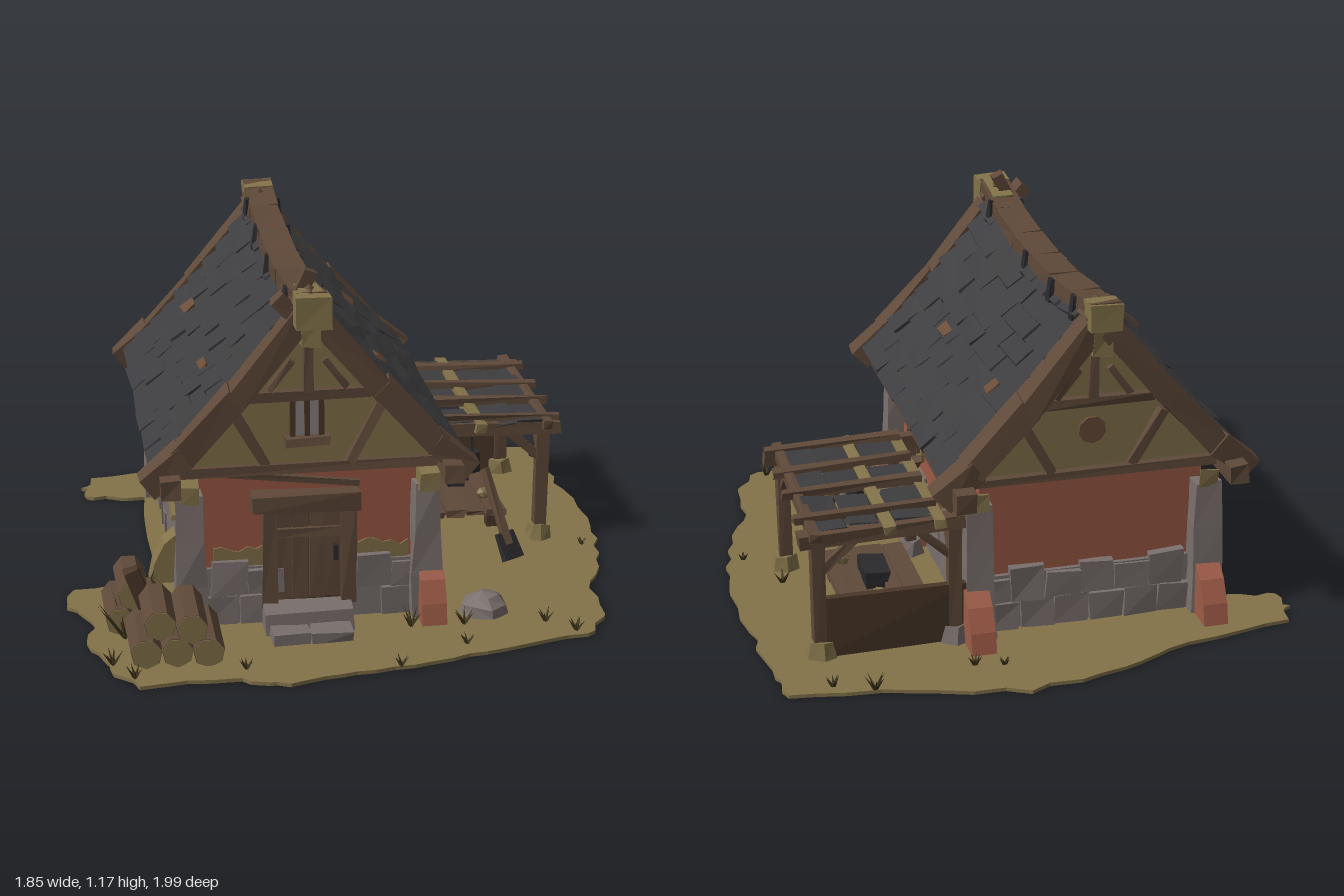
import * as THREE from 'three';

const M = {};
for (const [name, color] of Object.entries({
  timber: 0x5f4939, darkTimber: 0x493628, slate: 0x3d3d3f, straw: 0x83734a, redPlaster: 0x9c5a46,
  stone: 0x7a706d, iron: 0x2b2b2e, grass: 0x40361d, paleStone: 0x8a8482, rust: 0x6a4c38,
})) M[name] = new THREE.MeshStandardMaterial({ color, flatShading: true, side: THREE.DoubleSide, name });

let seed = 7;
const rnd = () => ((seed = (seed * 16807) % 2147483647) / 2147483647);
const jit = (a) => (rnd() - 0.5) * 2 * a;
const V = (x, y, z) => new THREE.Vector3(x, y, z);
const CX = -0.162; // house centre line

// Shift shared corners together for a hand-hewn look
function rough(geo, amt) {
  const p = geo.attributes.position, moved = {};
  for (let i = 0; i < p.count; i++) {
    const v = V(p.getX(i), p.getY(i), p.getZ(i));
    const k = v.toArray().map((n) => n.toFixed(3) * 1 + 0).join();
    moved[k] ??= V(jit(amt), jit(amt), jit(amt));
    v.add(moved[k]);
    p.setXYZ(i, v.x, v.y, v.z);
  }
  geo.computeVertexNormals();
  return geo;
}

export function createModel() {
  seed = 7;
  const root = new THREE.Group();
  root.name = 'cottage';
  const add = (name, geo, mat, x = 0, y = 0, z = 0) => {
    const m = new THREE.Mesh(geo, M[mat]);
    m.name = name;
    m.position.set(x, y, z);
    root.add(m);
    return m;
  };
  // Box given by its extents
  const box = (name, mat, x0, x1, y0, y1, z0, z1, r = 0) => add(name,
    rough(new THREE.BoxGeometry(x1 - x0, y1 - y0, z1 - z0), r), mat, (x0 + x1) / 2, (y0 + y1) / 2, (z0 + z1) / 2);
  // Squared bar between two points
  const beam = (name, mat, a, b, w, h, r = 0.004, up = V(0, 1, 0)) => {
    const m = add(name, rough(new THREE.BoxGeometry(w, h, a.distanceTo(b)), r), mat);
    m.position.copy(a).lerp(b, 0.5);
    m.up.copy(up);
    m.lookAt(b);
    return m;
  };

  // Ground with ragged edge and an opening below the house
  const rim = [[0.14, -1], [0.5, -0.9], [0.86, -0.84], [0.88, -0.66], [0.91, -0.4], [0.92, -0.05], [0.89, 0.18],
    [0.8, 0.4], [0.78, 0.66], [0.69, 0.79], [0.42, 0.85], [0.16, 0.91], [-0.07, 0.94], [-0.28, 0.99], [-0.42, 0.93],
    [-0.73, 0.94], [-0.81, 0.79], [-0.86, 0.66], [-0.84, 0.48], [-0.92, 0.34], [-0.89, 0.21], [-0.62, 0.15],
    [-0.6, -0.56], [-0.78, -0.58], [-0.82, -0.68], [-0.78, -0.77], [-0.42, -0.83], [-0.18, -0.93]];
  const edge = [];
  rim.forEach(([x, z], i) => {
    const [nx, nz] = rim[(i + 1) % rim.length];
    edge.push(new THREE.Vector2(x, -z));
    for (const t of [0.25, 0.5, 0.75]) edge.push(new THREE.Vector2(x + (nx - x) * t + jit(0.016), -(z + (nz - z) * t + jit(0.016))));
  });
  const ground = new THREE.Shape(edge);
  ground.holes.push(new THREE.Path([[-0.5, -0.54], [0.17, -0.54], [0.17, 0.5], [-0.5, 0.5]].map((p) => new THREE.Vector2(...p))));
  add('ground', new THREE.ExtrudeGeometry(ground, { depth: 0.012, bevelEnabled: false }).rotateX(-Math.PI / 2), 'straw');

  // Walls: red plaster above a stone footing, lined with stone inside
  for (const [mat, y0, y1, o] of [['redPlaster', 0.2, 0.55, 0], ['stone', 0.005, 0.2, 0.015]]) {
    box('frontWall', mat, -0.53, 0.2, y0, y1, 0.49, 0.52 + o);
    box('backWall', mat, -0.53, 0.2, y0, y1, -0.58 - o, -0.55);
    box('rightWall', mat, 0.17, 0.2 + o, y0, y1, -0.58, 0.52);
    box('leftWall', mat, -0.53 - o, -0.5, y0, y1, -0.58, 0.52);
  }
  box('innerFrontWall', 'stone', -0.5, 0.17, 0.005, 0.56, 0.48, 0.49);
  box('innerBackWall', 'stone', -0.5, 0.17, 0.005, 0.56, -0.55, -0.54);
  box('innerRightWall', 'stone', 0.16, 0.17, 0.005, 0.56, -0.55, 0.49);
  box('innerLeftWall', 'stone', -0.5, -0.49, 0.005, 0.56, -0.55, 0.49);
  box('ceiling', 'stone', -0.5, 0.17, 0.55, 0.56, -0.55, 0.49);
  box('innerDoor', 'rust', -0.28, -0.04, 0.06, 0.42, 0.474, 0.48);
  for (const [z, y] of [[0.3, 0.12], [0.02, 0.2], [-0.25, 0.1], [-0.4, 0.3]]) box('innerStain', 'rust', -0.49, -0.484, y, y + 0.06, z, z + 0.1, 0.003);

  // Footing stones in two courses
  for (let row = 0; row < 2; row++) {
    const y0 = 0.01 + row * 0.1, y1 = y0 + 0.098;
    for (let i = 0; i < 6; i++) {
      const x = -0.5 + i * 0.115 + row * 0.03, top = y1 + (row ? jit(0.025) : 0);
      if (x < -0.33 || x > -0.03) box('footingStone', 'stone', x, x + 0.112, y0, top, 0.5, 0.55, 0.005);
      box('footingStone', 'stone', x, x + 0.112, y0, top, -0.61, -0.56, 0.005);
    }
    for (let i = 0; i < 8; i++) {
      const z = -0.56 + i * 0.133 + row * 0.03, top = y1 + (row ? jit(0.015) : 0);
      box('footingStone', 'stone', 0.18, 0.225, y0, top, z, z + 0.13, 0.005);
      box('footingStone', 'stone', -0.555, -0.51, y0, top, z, z + 0.13, 0.005);
    }
  }
  // Ragged bare patches on the plaster
  const patch = (x, y, z, w, h, ry, mat = 'straw') => {
    const s = [], n = 6;
    for (let i = 0; i <= n; i++) s.push(new THREE.Vector2(-w / 2 + (w * i) / n, h / 2 + jit(h * 0.25)));
    s.push(new THREE.Vector2(w / 2, -h / 2), new THREE.Vector2(-w / 2, -h / 2));
    add('barePatch', new THREE.ExtrudeGeometry(new THREE.Shape(s), { depth: 0.006, bevelEnabled: false }), mat, x, y, z).rotation.y = ry;
  };
  patch(-0.38, 0.225, 0.52, 0.16, 0.06, 0);
  patch(0.08, 0.225, 0.52, 0.16, 0.06, 0);
  patch(0.2, 0.215, -0.3, 0.56, 0.045, Math.PI / 2, 'rust');
  patch(0.2, 0.49, -0.17, 0.28, 0.08, Math.PI / 2);
  patch(0.2, 0.3, 0.35, 0.1, 0.1, Math.PI / 2);

  // Tapered corner pillars with beam ends on top
  for (const s of [-1, 1]) for (const [z, dz] of [[0.54, 1], [-0.6, -1]]) {
    const g = new THREE.CylinderGeometry(0.058, 0.073, 0.46, 4, 3).rotateY(Math.PI / 4);
    add('cornerPillar', rough(g, 0.006), 'stone', CX + s * 0.375, 0.235, z);
    box('beamEnd', 'straw', CX + s * 0.375 - 0.03, CX + s * 0.375 + 0.03, 0.45, 0.51, z - 0.04, z + 0.05 * dz + 0.02, 0.004);
  }
  // Curved buttresses
  const buttress = (x, z, ry, mat, d) => {
    const s = new THREE.Shape([[-0.03, 0], [d, 0], [d * 0.85, 0.07], [d * 0.5, 0.14], [0, 0.18], [-0.03, 0.18]].map((p) => new THREE.Vector2(...p)));
    add('buttress', new THREE.ExtrudeGeometry(s, { depth: 0.08, bevelEnabled: false }).translate(0, 0, -0.04), mat, x, 0.01, z).rotation.y = ry;
  };
  buttress(0.225, 0.57, -Math.PI / 2, 'redPlaster', 0.09);
  buttress(0.21, 0.08, 0, 'redPlaster', 0.1);
  buttress(0.225, -0.64, Math.PI / 2, 'redPlaster', 0.11);
  buttress(-0.54, -0.64, Math.PI / 2, 'redPlaster', 0.11);
  buttress(-0.54, 0.16, Math.PI, 'straw', 0.1);

  // Gables with timber framing; f is the outer face and d its direction
  for (const [f, d] of [[0.53, 1], [-0.585, -1]]) {
    const s = new THREE.Shape([[-0.42, 0.53], [0.42, 0.53], [0, 1.0]].map((p) => new THREE.Vector2(...p)));
    add('gable', new THREE.ExtrudeGeometry(s, { depth: 0.04, bevelEnabled: false }), 'straw', CX, 0, d > 0 ? f - 0.04 : f);
    const t = (x0, y0, x1, y1, h) => beam('gableTimber', 'timber', V(CX + x0, y0, f + d * 0.008), V(CX + x1, y1, f + d * 0.008), 0.03, h);
    t(-0.42, 0.53, 0.42, 0.53, 0.028);
    t(-0.2, 0.77, 0.2, 0.77, 0.032);
    t(0, 0.78, 0, 1.0, 0.04);
    for (const k of [-1, 1]) {
      t(k * 0.13, 0.54, k * 0.23, 0.72, 0.03);
      t(k * 0.12, 0.79, k * 0.05, 0.88, 0.02);
    }
    // Barge boards, sagging slightly
    const zb = d > 0 ? 0.585 : -0.645;
    for (const k of [-1, 1]) {
      const pts = [[-0.03, 1.1], [0.22, 0.8], [0.39, 0.615], [0.5, 0.52]].map(([x, y]) => V(CX + k * x, y, zb));
      for (let i = 0; i < 3; i++) beam('bargeBoard', 'timber', pts[i], pts[i + 1].clone().lerp(pts[i], -0.06), 0.08, 0.075, 0.006);
      beam('eavePurlin', 'timber', V(CX + k * 0.44, 0.53, d * 0.1), V(CX + k * 0.44, 0.53, zb + d * 0.095), 0.06, 0.06);
    }
    box('gableBracket', 'straw', CX - 0.03, CX + 0.03, 0.95, 1.03, Math.min(f, f + d * 0.1), Math.max(f, f + d * 0.1), 0.004);
  }
  beam('crossedPeg', 'timber', V(-0.2, 1.06, 0.53), V(-0.15, 1.165, 0.53), 0.04, 0.04);
  beam('crossedPeg', 'timber', V(-0.2, 1.03, 0.585), V(-0.265, 1.1, 0.585), 0.06, 0.05);
  beam('slantedLath', 'timber', V(-0.5, 0.525, 0.53), V(0.0, 0.465, 0.53), 0.02, 0.018);
  // Gable window and back vent
  box('gableWindow', 'paleStone', -0.205, -0.125, 0.63, 0.75, 0.525, 0.54);
  for (const x of [-0.21, -0.165, -0.12]) box('windowBar', 'darkTimber', x - 0.008, x + 0.008, 0.62, 0.76, 0.53, 0.55);
  box('windowSill', 'timber', -0.235, -0.095, 0.61, 0.635, 0.53, 0.57, 0.004);
  add('backVent', new THREE.CylinderGeometry(0.045, 0.045, 0.02, 9).rotateX(Math.PI / 2), 'rust', CX, 0.67, -0.585);

  // Roof surface: k side, t from ridge to eave
  const roof = (k, t, z) => V(CX + k * 0.475 * t, 1.03 - 0.485 * t - 0.025 * Math.sin(Math.PI * t) + 0.17 * z * z * (1 - t), z);
  for (const k of [-1, 1]) {
    const up = V(k * 0.6, 0.78, 0);
    const slab = (mat, t, z0, z1, lift, w) => beam('roofSlate', mat, roof(k, t, z0).addScaledVector(up, lift), roof(k, t, z1).addScaledVector(up, lift), w, 0.018, 0.005, up);
    const sheet = new THREE.PlaneGeometry(1, 1, 6, 6), p = sheet.attributes.position;
    for (let i = 0; i < p.count; i++) {
      const q = roof(k, p.getX(i) + 0.5, -0.03 + p.getY(i) * 1.16);
      p.setXYZ(i, q.x, q.y, q.z);
    }
    sheet.computeVertexNormals();
    add('roofUnderside', sheet, 'slate');
    for (let row = 0; row < 10; row++) {
      for (let z = -0.61; z < 0.53;) {
        const e = z + 0.13 + rnd() * 0.16, end = e > 0.46 ? 0.55 : e;
        slab('slate', (row + 0.5) / 10, z + 0.003, end - 0.003, 0.012 + rnd() * 0.006, 0.078);
        z = end;
      }
    }
    // Small weathered repairs
    slab('rust', 0.57, 0.12, 0.2, 0.022, 0.035);
    slab('rust', 0.55, -0.44, -0.38, 0.022, 0.05);
    // Eave boards
    beam('eaveBoard', 'timber', V(CX + k * 0.45, 0.52, -0.62), V(CX + k * 0.45, 0.52, 0.56), 0.035, 0.035);
  }
  // Sagging ridge beam with iron straps and pale end blocks
  const ridge = (z) => V(CX, 1.03 + 0.14 * z * z, z);
  for (let i = 0; i < 6; i++) beam('ridgeBeam', 'timber', ridge(-0.72 + i * 0.225), ridge(-0.72 + (i + 1) * 0.225), 0.1, 0.07);
  beam('ridgeEnd', 'straw', V(CX, 1.07, 0.6), V(CX, 1.075, 0.685), 0.108, 0.1);
  beam('ridgeTopPlank', 'straw', ridge(0.47).add(V(0, 0.035, 0)), ridge(0.62).add(V(0, 0.035, 0)), 0.07, 0.015);
  beam('ridgeEnd', 'straw', V(CX, 1.085, -0.64), V(CX, 1.09, -0.73), 0.1, 0.085);
  for (const z of [0.46, 0, -0.31, -0.55]) for (const k of [-1, 1]) {
    beam('ridgeStrap', 'iron', ridge(z).add(V(k * 0.052, 0.036, 0)), ridge(z).add(V(k * 0.062, -0.045, 0)), 0.03, 0.014);
  }

  // Door, frame and steps
  box('door', 'darkTimber', -0.27, -0.05, 0.08, 0.4, 0.5, 0.54);
  for (let i = 0; i < 4; i++) box('doorPlank', 'timber', -0.265 + i * 0.053, -0.214 + i * 0.053, 0.09, 0.39, 0.53, 0.55, 0.003);
  box('doorRail', 'timber', -0.265, -0.055, 0.3, 0.33, 0.54, 0.56, 0.004);
  box('doorHandle', 'iron', -0.085, -0.07, 0.22, 0.27, 0.545, 0.57);
  box('doorJamb', 'timber', -0.31, -0.26, 0.07, 0.4, 0.5, 0.57, 0.006);
  box('doorJamb', 'timber', -0.06, -0.01, 0.07, 0.4, 0.5, 0.57, 0.006);
  box('doorLintel', 'timber', -0.34, 0.0, 0.395, 0.45, 0.5, 0.585, 0.008);
  box('upperStep', 'stone', -0.31, -0.03, 0.005, 0.08, 0.53, 0.65, 0.006);
  box('lowerStep', 'stone', -0.3, -0.18, 0.005, 0.045, 0.62, 0.73, 0.005);
  box('lowerStep', 'stone', -0.175, -0.05, 0.005, 0.045, 0.62, 0.73, 0.005);

  // Side windows
  for (const [x, z, k] of [[0.2, 0.27, 1], [-0.53, 0.2, -1]]) {
    box('windowSurround', 'straw', x - 0.01, x + 0.01, 0.265, 0.445, z - 0.095, z + 0.095, 0.005);
    box('windowPane', 'paleStone', x + k * 0.012 - 0.004, x + k * 0.012 + 0.004, 0.29, 0.42, z - 0.07, z + 0.07);
    for (const o of [-0.07, 0, 0.07]) box('windowBar', 'timber', x + k * 0.016 - 0.006, x + k * 0.016 + 0.006, 0.285, 0.425, z + o - 0.006, z + o + 0.006);
    box('windowSill', 'straw', x + k * 0.02 - 0.02, x + k * 0.02 + 0.02, 0.27, 0.29, z - 0.09, z + 0.09, 0.003);
  }

  // Lean-to frame
  for (const z of [0.01, -0.62]) {
    for (const x of [0.29, 0.72]) {
      beam('leanToPost', 'timber', V(x, 0.01, z), V(x, 0.42, z), 0.042, 0.042);
      add('postFoot', rough(new THREE.CylinderGeometry(0.038, 0.05, 0.06, 6), 0.006), x > 0.5 ? 'straw' : 'stone', x, 0.035, z);
      const k = x > 0.5 ? -1 : 1;
      beam('leanToBrace', 'timber', V(x, 0.3, z), V(x + k * 0.12, 0.41, z), 0.025, 0.025);
      beam('leanToBrace', 'timber', V(x, 0.3, z), V(x, 0.41, z + (z > -0.3 ? -0.12 : 0.12)), 0.025, 0.025);
    }
    beam('leanToBeam', 'timber', V(0.26, 0.43, z), V(0.78, 0.415, z), 0.045, 0.045);
  }
  for (const x of [0.34, 0.5, 0.73]) beam('leanToRafter', x < 0.6 ? 'straw' : 'timber', V(x, 0.435, -0.66), V(x, 0.435, 0.05), 0.035, 0.03);
  for (const z of [-0.54, -0.35, -0.18, -0.01]) beam('leanToPurlin', 'timber', V(0.33, 0.46, z), V(0.78, 0.445, z + jit(0.01)), 0.032, 0.025);
  for (const [z, d] of [[-0.5, 0.23], [-0.26, 0.13], [-0.06, 0.17]]) for (const [x, w] of [[0.41, 0.13], [0.57, 0.1], [0.68, 0.11]]) {
    box('leanToSlate', 'slate', x - w / 2, x + w / 2, 0.435, 0.447, z - d / 2, z + d / 2, 0.008);
  }
  // Low plank fence, bench and anvil
  box('fence', 'darkTimber', 0.25, 0.72, 0.01, 0.21, -0.635, -0.61, 0.005);
  for (let i = 0; i < 4; i++) box('benchPlank', 'timber', 0.34 + i * 0.07, 0.405 + i * 0.07, 0.07, 0.09, -0.52, -0.06, 0.006);
  for (const z of [-0.47, -0.12]) for (const x of [0.37, 0.58]) box('benchLeg', 'darkTimber', x - 0.02, x + 0.02, 0.01, 0.08, z - 0.02, z + 0.02);
  box('anvilFoot', 'iron', 0.46, 0.52, 0.09, 0.12, -0.37, -0.29);
  box('anvilTop', 'iron', 0.45, 0.53, 0.12, 0.16, -0.4, -0.26, 0.008);
  for (const [x, z, r] of [[0.5, -0.46, 0.03], [0.42, -0.5, 0.035], [0.56, -0.17, 0.022]]) add('sack', rough(new THREE.IcosahedronGeometry(r, 0), 0.004), 'straw', x, 0.11, z);
  // Hanging lantern
  add('lantern', new THREE.CylinderGeometry(0.03, 0.035, 0.07, 6), 'iron', 0.49, 0.28, -0.06);
  beam('lanternHook', 'iron', V(0.49, 0.31, -0.06), V(0.49, 0.42, -0.06), 0.01, 0.01);
  // Shovel
  beam('shovelHandle', 'timber', V(0.57, 0.06, 0.18), V(0.51, 0.3, 0.07), 0.022, 0.022);
  beam('shovelBlade', 'iron', V(0.585, 0.02, 0.2), V(0.56, 0.1, 0.16), 0.08, 0.015);

  // Log pile with pale cut ends
  const log = (x, y, z0, z1, r) => {
    const m = add('log', new THREE.CylinderGeometry(r, r * 1.05, z1 - z0, 7).rotateX(Math.PI / 2), 'timber', x, y, (z0 + z1) / 2);
    for (const k of [-1, 1]) add('logEnd', new THREE.CylinderGeometry(r * 0.96, r * 0.96, 0.006, 7).rotateX(Math.PI / 2), 'straw', x, y, m.position.z + (k * (z1 - z0)) / 2);
  };
  for (const [x, y] of [[-0.7, 0.06], [-0.605, 0.06], [-0.51, 0.055], [-0.655, 0.145], [-0.56, 0.135]]) log(x, y, 0.59 + jit(0.02), 0.82 + jit(0.015), 0.05);
  for (const [x, y] of [[-0.76, 0.055], [-0.67, 0.055], [-0.72, 0.14]]) log(x, y, 0.35 + jit(0.02), 0.57, 0.048);
  beam('leaningPlank', 'darkTimber', V(-0.66, 0.06, 0.58), V(-0.725, 0.235, 0.58), 0.05, 0.05);
  // Rock beside the front corner
  add('rock', rough(new THREE.SphereGeometry(0.085, 7, 3, 0, Math.PI * 2, 0, Math.PI / 2).scale(1, 0.8, 1), 0.006), 'stone', 0.4, 0.01, 0.57);

  // Grass tufts
  for (const [x, z, h] of [[0.6, -0.87, 0.06], [0.72, -0.82, 0.04], [0.27, -0.8, 0.04], [0.18, -0.82, 0.03], [0.32, 0.66, 0.06],
    [0.15, 0.65, 0.07], [0.58, 0.68, 0.05], [0.66, 0.76, 0.05], [-0.4, 0.87, 0.04], [-0.8, 0.78, 0.06], [-0.65, 0.22, 0.07],
    [0.07, 0.92, 0.04], [0.3, 0.8, 0.04], [0.85, 0.1, 0.03], [-0.74, 0.88, 0.05], [-0.75, 0.6, 0.15], [0.75, -0.1, 0.05]]) {
    for (let i = 0; i < 7; i++) {
      const a = i * 0.9 + rnd(), m = add('grassBlade', new THREE.ConeGeometry(0.007, h, 3).translate(0, h / 2, 0), 'grass', x, 0.01, z);
      m.rotation.set(Math.cos(a) * 0.6, 0, Math.sin(a) * 0.6);
    }
  }
  return root;
}
